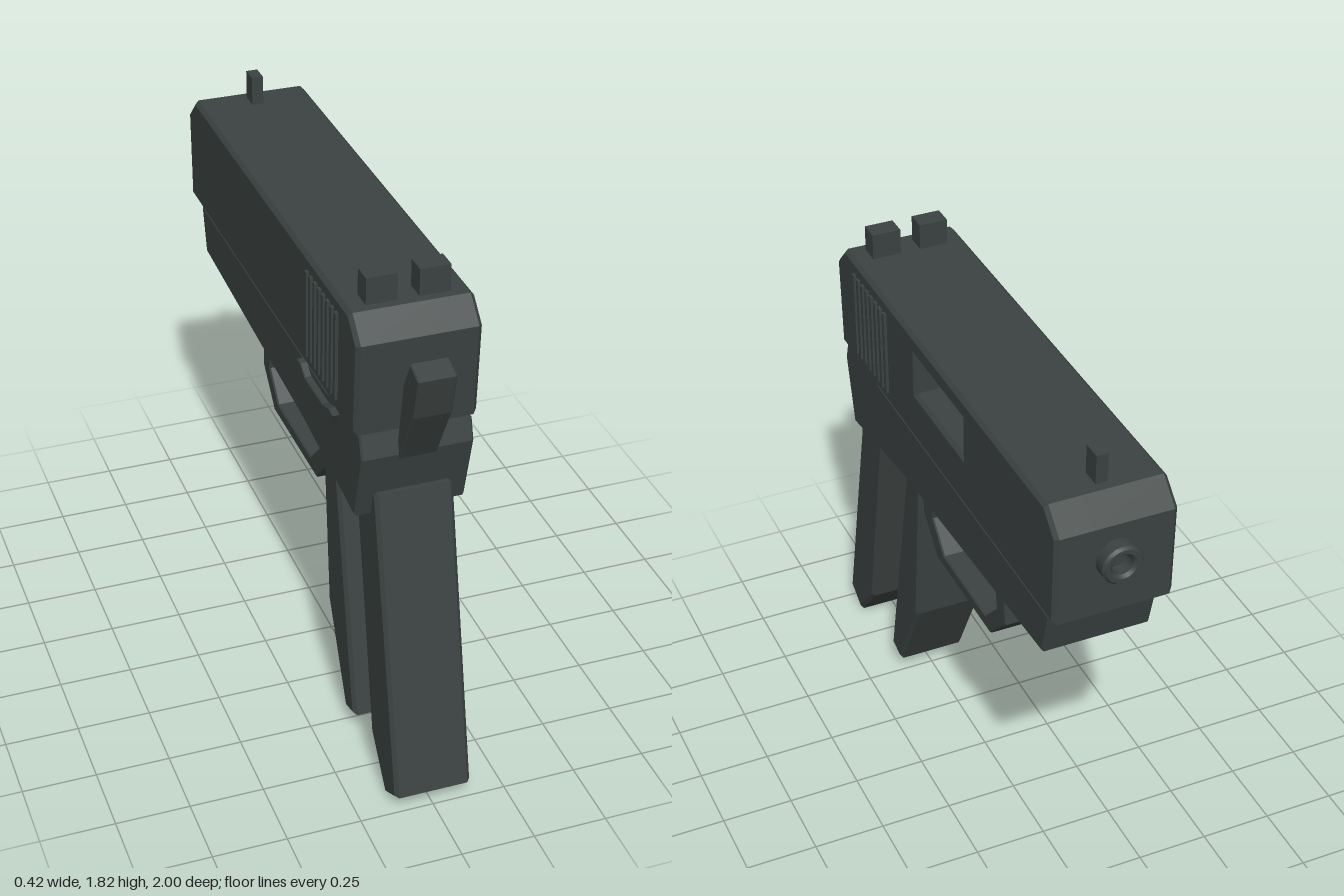
import * as THREE from 'three';
import { toCreasedNormals } from 'three/addons/utils/BufferGeometryUtils.js';

const gunmetal = new THREE.MeshStandardMaterial({ color: 0x3b4241 });
gunmetal.name = 'gunmetal';

export function createModel() {
  const model = new THREE.Group();
  model.name = 'pistol';

  const add = (name, geometry) => {
    const mesh = new THREE.Mesh(geometry, gunmetal);
    mesh.name = name;
    model.add(mesh);
    return mesh;
  };

  const vec = (pts) => pts.map(([z, y]) => new THREE.Vector2(z, y));

  // Side profile in (z, y), extruded from x0 to x1 with chamfered edges
  const plate = (name, pts, x0, x1, bevel = 0.01, hole = null) => {
    const shape = new THREE.Shape(vec(pts));
    if (hole) shape.holes.push(new THREE.Path(vec(hole)));
    const geo = new THREE.ExtrudeGeometry(shape, {
      depth: x1 - x0 - 2 * bevel,
      bevelEnabled: bevel > 0,
      bevelThickness: bevel,
      bevelSize: bevel,
      bevelOffset: -bevel,
      bevelSegments: 1,
    });
    geo.rotateY(-Math.PI / 2);
    geo.translate(x1 - bevel, 0, 0);
    return add(name, geo);
  };

  const box = (name, w, h, d, x, y, z) =>
    add(name, new THREE.BoxGeometry(w, h, d).translate(x, y, z));

  // Slide: solid core, plus a right-hand layer cut by the ejection port
  const slide = [
    [0.795, 1.65], [0.775, 1.33], [-0.945, 1.33],
    [-0.95, 1.65], [-0.87, 1.725], [0.72, 1.725],
  ];
  const port = [[0.11, 1.51], [0.11, 1.655], [-0.275, 1.655], [-0.275, 1.51]];
  plate('slideCore', slide, -0.2, 0.09, 0.013);
  plate('slidePortSide', slide, 0.04, 0.2, 0.013, port);

  // Slanted grip ribs on both sides of the slide
  for (const side of [-1, 1]) {
    for (let i = 0; i < 8; i++) {
      const z = 0.355 + i * 0.0385;
      const inner = side * 0.19, outer = side * 0.21;
      plate('slideRib', [
        [z + 0.009, 1.68], [z - 0.009, 1.68], [z - 0.015, 1.375], [z + 0.003, 1.375],
      ], Math.min(inner, outer), Math.max(inner, outer), 0);
    }
  }

  // Sights
  for (const side of [-1, 1]) box('rearSight', 0.1, 0.11, 0.07, side * 0.085, 1.76, 0.655);
  box('frontSight', 0.04, 0.12, 0.065, 0, 1.765, -0.805);

  // Muzzle ring with an open bore
  const muzzle = new THREE.LatheGeometry(vec([
    [0.035, -0.06], [0.035, 0.045], [0.045, 0.055], [0.06, 0.055], [0.068, 0.045], [0.068, -0.06],
  ].reverse()), 16);
  muzzle.rotateX(-Math.PI / 2);
  muzzle.translate(0, 1.53, -0.945);
  const ring = add('muzzle', toCreasedNormals(muzzle, 0.5));
  // Lathe winding is turned so that the faces look outward
  const pos = ring.geometry.attributes.position, nor = ring.geometry.attributes.normal;
  const a = new THREE.Vector3(), b = new THREE.Vector3(), c = new THREE.Vector3();
  let volume = 0;
  for (let i = 0; i < pos.count; i += 3) {
    a.fromBufferAttribute(pos, i).y -= 1.53;
    b.fromBufferAttribute(pos, i + 1).y -= 1.53;
    c.fromBufferAttribute(pos, i + 2).y -= 1.53;
    a.z += 0.945; b.z += 0.945; c.z += 0.945;
    volume += a.dot(b.cross(c));
  }
  if (volume < 0) {
    for (let i = 0; i < pos.count; i += 3) {
      a.fromBufferAttribute(pos, i + 1);
      b.fromBufferAttribute(pos, i + 2);
      pos.setXYZ(i + 1, b.x, b.y, b.z);
      pos.setXYZ(i + 2, a.x, a.y, a.z);
    }
    for (let i = 0; i < nor.count; i++) nor.setXYZ(i, -nor.getX(i), -nor.getY(i), -nor.getZ(i));
    ring.geometry = toCreasedNormals(ring.geometry, 0.5);
  }

  // Frame under the slide
  plate('frame', [
    [0.775, 1.325], [0.797, 1.25], [0.735, 1.01], [0.25, 1.075], [-0.3, 1.11],
    [-0.84, 1.145], [-0.88, 1.31], [0.47, 1.31], [0.55, 1.325],
  ], -0.183, 0.183, 0.006);

  // Accessory rail ribs
  for (const z of [-0.475, -0.602, -0.73]) box('railRib', 0.28, 0.06, 0.05, 0, 1.135, z);

  // Open grip made of a rear and a front strap
  plate('gripRearStrap', [
    [0.775, 1.1], [1.0, 0.06], [0.9, 0.003], [0.765, 0.165], [0.6, 1.04], [0.59, 1.1],
  ], -0.13, 0.13, 0.012);
  plate('gripFrontStrap', [
    [0.375, 1.1], [0.585, 0.08], [0.5, 0.057], [0.327, 0.4], [0.265, 1.1],
  ], -0.125, 0.125, 0.012);

  // Trigger guard and trigger
  plate('triggerGuard', [
    [0.28, 1.1], [0.28, 0.9], [0.16, 0.777], [-0.29, 0.777], [-0.41, 0.9], [-0.395, 1.13],
    [-0.308, 1.13], [-0.34, 0.92], [-0.25, 0.823], [0.1, 0.823], [0.197, 0.92], [0.165, 1.1],
  ], -0.11, 0.11, 0.005);
  plate('trigger', [
    [0.02, 1.11], [0.0, 1.0], [-0.105, 0.943], [-0.12, 0.973], [-0.043, 1.02], [-0.03, 1.11],
  ], -0.04, 0.04, 0.005);

  // Hammer
  plate('hammer', [
    [0.94, 1.585], [0.87, 1.61], [0.82, 1.515], [0.788, 1.33], [0.77, 1.22],
    [0.797, 1.235], [0.905, 1.44],
  ], -0.062, 0.062, 0.004);

  // Slide release lever on one side only
  plate('slideLever', [
    [0.23, 1.265], [0.255, 1.312], [0.285, 1.312], [0.33, 1.285], [0.5, 1.285],
    [0.56, 1.305], [0.6, 1.3], [0.57, 1.25], [0.33, 1.245], [0.28, 1.23], [0.25, 1.235],
  ], -0.206, -0.17, 0.003);

  return model;
}
